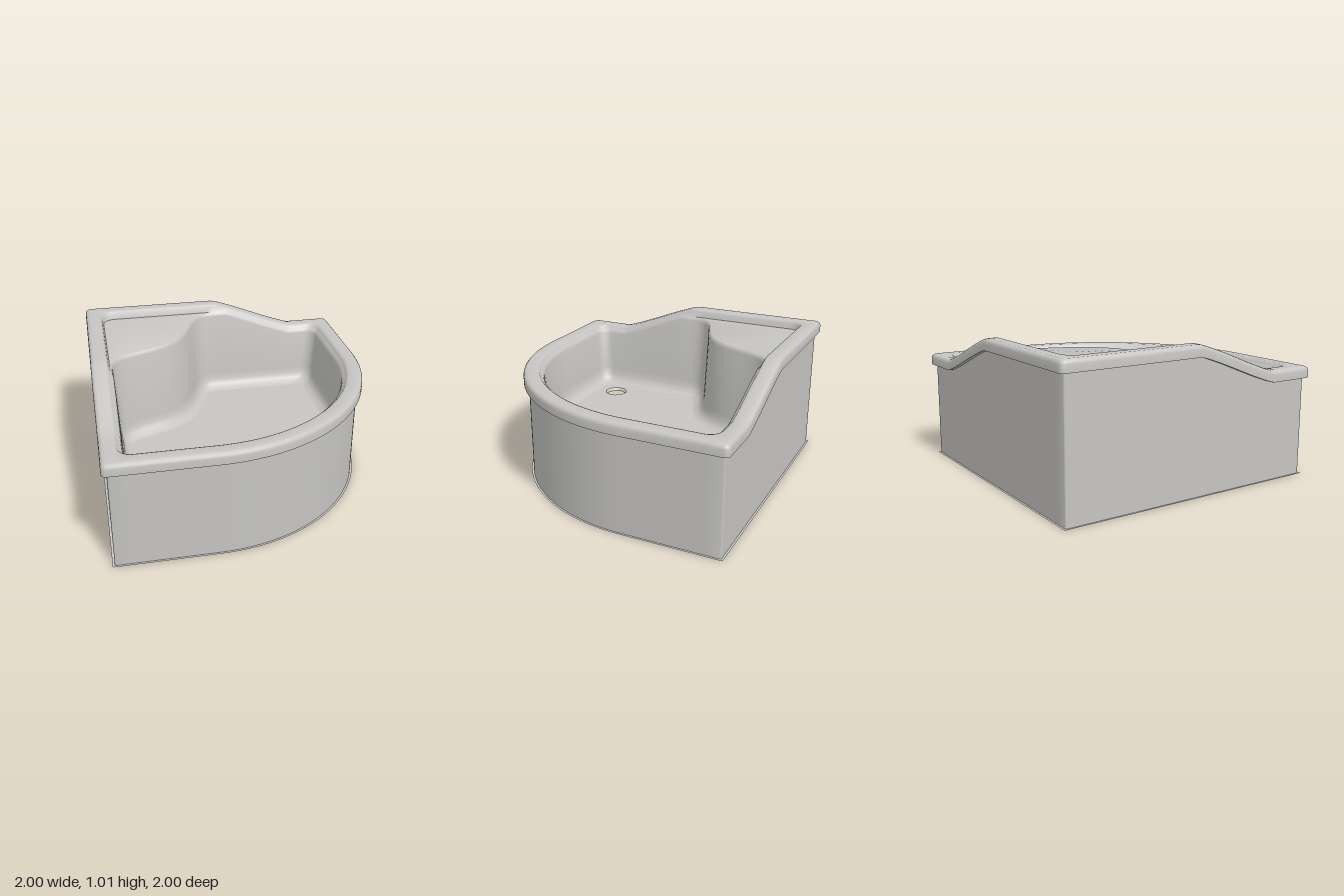
import * as THREE from 'three';
import { mergeVertices, toCreasedNormals } from 'three/addons/utils/BufferGeometryUtils.js';

const SEAT_Y = 0.95, FLOOR_Y = 0.3, BOARD_Y = 0.17;
const DRAIN = { x: -0.6, z: 0.59, r: 0.07 };
const SECTION = 32; // segments of the seat corner section: 12 + 8 + 12

// Rim height: high around the seat corner, sloping down to the low front.
function rimHeight([x, z]) {
  if (Math.min(x, z) > -0.8) return 0.78;
  const t = THREE.MathUtils.clamp((Math.max(x, z) - 0.02) / 0.63, 0, 1);
  return 1.01 - 0.23 * (0.8 * t + 0.2 * t * t * (3 - 2 * t));
}

// Quadrant outline inset by d, with corner radius r; starts at the left edge, z = 0.
function outline(d, r) {
  const pts = [], e = 1 - d, c = -0.27;
  const line = (x0, z0, x1, z1, n) => {
    for (let i = 0; i < n; i++) pts.push([x0 + (x1 - x0) * i / n, z0 + (z1 - z0) * i / n]);
  };
  const arc = (cx, cz, rad, from, n) => {
    for (let i = 0; i < n; i++) {
      const a = from + (Math.PI / 2) * i / n;
      pts.push([cx + rad * Math.cos(a), cz + rad * Math.sin(a)]);
    }
  };
  line(-e, 0, -e, -e + r, 12);
  arc(-e + r, -e + r, r, Math.PI, 8);
  line(-e + r, -e, 0, -e, 12);
  line(0, -e, e - r, -e, 28);
  arc(e - r, -e + r, r, -Math.PI / 2, 8);
  line(e, -e + r, e, c, 6);
  arc(c, c, e - c, 0, 48);
  line(c, e, -e + r, e, 6);
  arc(-e + r, e - r, r, Math.PI / 2, 8);
  line(-e, e - r, -e, 0, 28);
  return pts;
}

// Basin outline: the corner section follows the S-shaped seat front.
const V = (x, y) => new THREE.Vector2(x, y);
const seatCurves = [
  new THREE.CubicBezierCurve(V(-0.88, 0), V(-0.88, -0.25), V(-0.56, -0.21), V(-0.385, -0.385)),
  new THREE.CubicBezierCurve(V(-0.385, -0.385), V(-0.21, -0.56), V(-0.25, -0.88), V(0, -0.88)),
];
function basin(d) {
  const pts = outline(0.12 + d, 0.085);
  for (let i = 0; i < SECTION; i++) {
    const half = i < SECTION / 2 ? 0 : 1;
    const t = i / (SECTION / 2) - half;
    const p = seatCurves[half].getPoint(t), tan = seatCurves[half].getTangent(t);
    pts[i] = [p.x - tan.y * d, p.y + tan.x * d];
  }
  return pts;
}

// Adds heights to an outline; y is a number or a function of point and index.
const ring = (pts, y) => pts.map((p, i) => [p[0], typeof y === 'number' ? y : y(p, i), p[1]]);

// Skin through equally long closed rings.
function loft(rings, crease = 0.75) {
  const n = rings[0].length, index = [];
  for (let k = 0; k < rings.length - 1; k++) {
    for (let i = 0; i < n; i++) {
      const j = (i + 1) % n, a = k * n + i, b = k * n + j;
      index.push(a, a + n, b, b, a + n, b + n);
    }
  }
  const geo = new THREE.BufferGeometry();
  geo.setAttribute('position', new THREE.Float32BufferAttribute(rings.flat(2), 3));
  geo.setIndex(index);
  return toCreasedNormals(mergeVertices(geo), crease);
}

// Flat horizontal plate, facing up.
function plate(pts, y, hole) {
  const shape = new THREE.Shape(pts.map(([x, z]) => V(x, -z)));
  if (hole) shape.holes.push(new THREE.Path().absarc(hole.x, -hole.z, hole.r, 0, Math.PI * 2, true));
  return new THREE.ShapeGeometry(shape, 16).rotateX(-Math.PI / 2).translate(0, y, 0);
}

export function createModel() {
  const group = new THREE.Group();
  const enamel = new THREE.MeshStandardMaterial({ color: 0xc6c5c3, side: THREE.DoubleSide });
  enamel.name = 'grey enamel';
  const tan = new THREE.MeshStandardMaterial({ color: 0xcec9ae, side: THREE.DoubleSide });
  tan.name = 'pale tan';
  const add = (name, geo, mat) => {
    const mesh = new THREE.Mesh(geo, mat);
    mesh.name = name;
    group.add(mesh);
    return mesh;
  };

  // Rim, seat and basin wall in one skin, from under the lip to the floor
  const rimProfile = [
    [0.035, 0.02, -0.08], [0, 0.035, -0.08], [0, 0.035, -0.03], [0.004, 0.035, -0.015],
    [0.014, 0.035, -0.004], [0.03, 0.035, 0], [0.098, 0.09, 0], [0.112, 0.09, -0.005],
    [0.12, 0.085, -0.018],
  ];
  const rings = rimProfile.map(([d, r, dy]) => ring(outline(d, r), (p) => rimHeight(p) + dy));
  const seatBack = outline(0.13, 0.085);
  const top = seatBack.map((p) => Math.min(SEAT_Y, rimHeight(p) - 0.03));
  rings.push(ring(seatBack, (p, i) => top[i]));
  for (const [d, dy] of [[0.01, 0], [0.022, -0.008], [0.03, -0.03]]) {
    rings.push(ring(basin(d), (p, i) => top[i] + dy));
  }
  for (const [d, y] of [[0.052, 0.42], [0.06, 0.37], [0.075, 0.335], [0.1, 0.31], [0.14, FLOOR_Y]]) {
    rings.push(ring(basin(d), y));
  }
  add('rimSeatAndBasin', loft(rings), enamel);

  // Basin floor with drain dish
  add('basinFloor', plate(basin(0.14), FLOOR_Y, { ...DRAIN, r: 0.085 }), enamel);
  const dish = add('drainDish', new THREE.LatheGeometry([V(DRAIN.r, -0.02), V(0.076, -0.006), V(0.085, 0)], 32), enamel);
  dish.position.set(DRAIN.x, FLOOR_Y, DRAIN.z);
  const drain = add('drain', new THREE.CircleGeometry(DRAIN.r, 32).rotateX(-Math.PI / 2), tan);
  drain.position.set(DRAIN.x, FLOOR_Y - 0.02, DRAIN.z);

  // Outer skirt
  const skirt = outline(0.035, 0.01);
  add('skirt', loft([ring(skirt, 0), ring(skirt, (p) => rimHeight(p) - 0.08)]), enamel);

  // Base flange and the inner wall above it
  const inner = outline(0.13, 0.02);
  add('baseFlange', loft([ring(inner, BOARD_Y), ring(inner, 0), ring(outline(0.02, 0.01), 0)]), enamel);

  // Recessed underside board
  const board = plate(inner, BOARD_Y);
  add('baseBoard', board, tan);

  return group;
}
